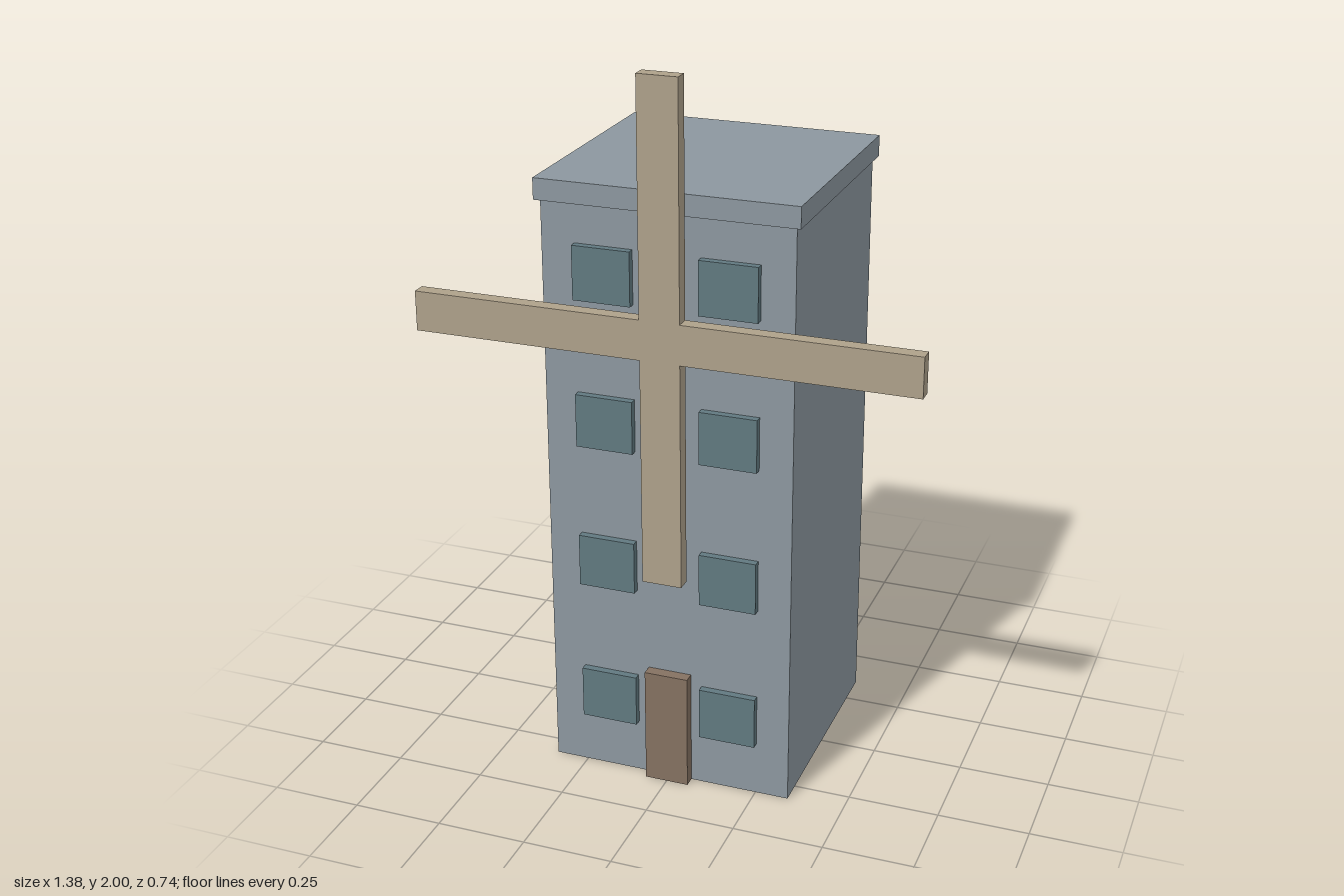
import * as THREE from 'three';

const paint = (name, color) => {
  const m = new THREE.MeshStandardMaterial({ color });
  m.name = name;
  return m;
};

export function createModel() {
  const model = new THREE.Group();
  model.name = 'towerMill';

  const wall = paint('greyWall', 0x8c979f);
  const glass = paint('windowTeal', 0x617980);
  const wood = paint('sailWood', 0xaea18a);
  const doorBrown = paint('doorBrown', 0x847161);

  const box = (name, material, [w, h, d], [x, y, z], parent = model) => {
    const mesh = new THREE.Mesh(new THREE.BoxGeometry(w, h, d), material);
    mesh.name = name;
    mesh.position.set(x, y, z);
    parent.add(mesh);
  };

  // Tower and its overhanging roof slab
  const width = 0.686, height = 1.64, depth = 0.664, zMid = -0.017;
  const front = zMid + depth / 2, back = zMid - depth / 2;
  box('tower', wall, [width, height, depth], [0, height / 2, zMid]);
  box('roof', wall, [width * 1.04, 0.058, depth * 1.04], [0, 1.669, zMid]);

  // Door, half sunk into the front wall
  box('door', doorBrown, [0.123, 0.333, 0.064], [0, 0.1665, front]);

  // Four floors with two windows each, on front and back
  const windows = new THREE.Group();
  windows.name = 'windows';
  model.add(windows);
  for (let floor = 0; floor < 4; floor++) {
    for (const x of [-0.172, 0.172]) {
      for (const z of [front, back]) {
        box('window', glass, [0.159, 0.148, 0.042], [x, 0.229 + floor * 0.41, z], windows);
      }
    }
  }

  // Cross-shaped sails standing just clear of the front wall
  const a = 0.055, r = 0.6875;
  const cross = new THREE.Shape([
    [a, a], [a, r], [-a, r], [-a, a], [-r, a], [-r, -a],
    [-a, -a], [-a, -r], [a, -r], [a, -a], [r, -a], [r, a],
  ].map(([x, y]) => new THREE.Vector2(x, y)));
  const sails = new THREE.Mesh(
    new THREE.ExtrudeGeometry(cross, { depth: 0.04, bevelEnabled: false }), wood);
  sails.name = 'sails';
  sails.position.set(0, 1.3125, 0.329);
  model.add(sails);

  return model;
}
